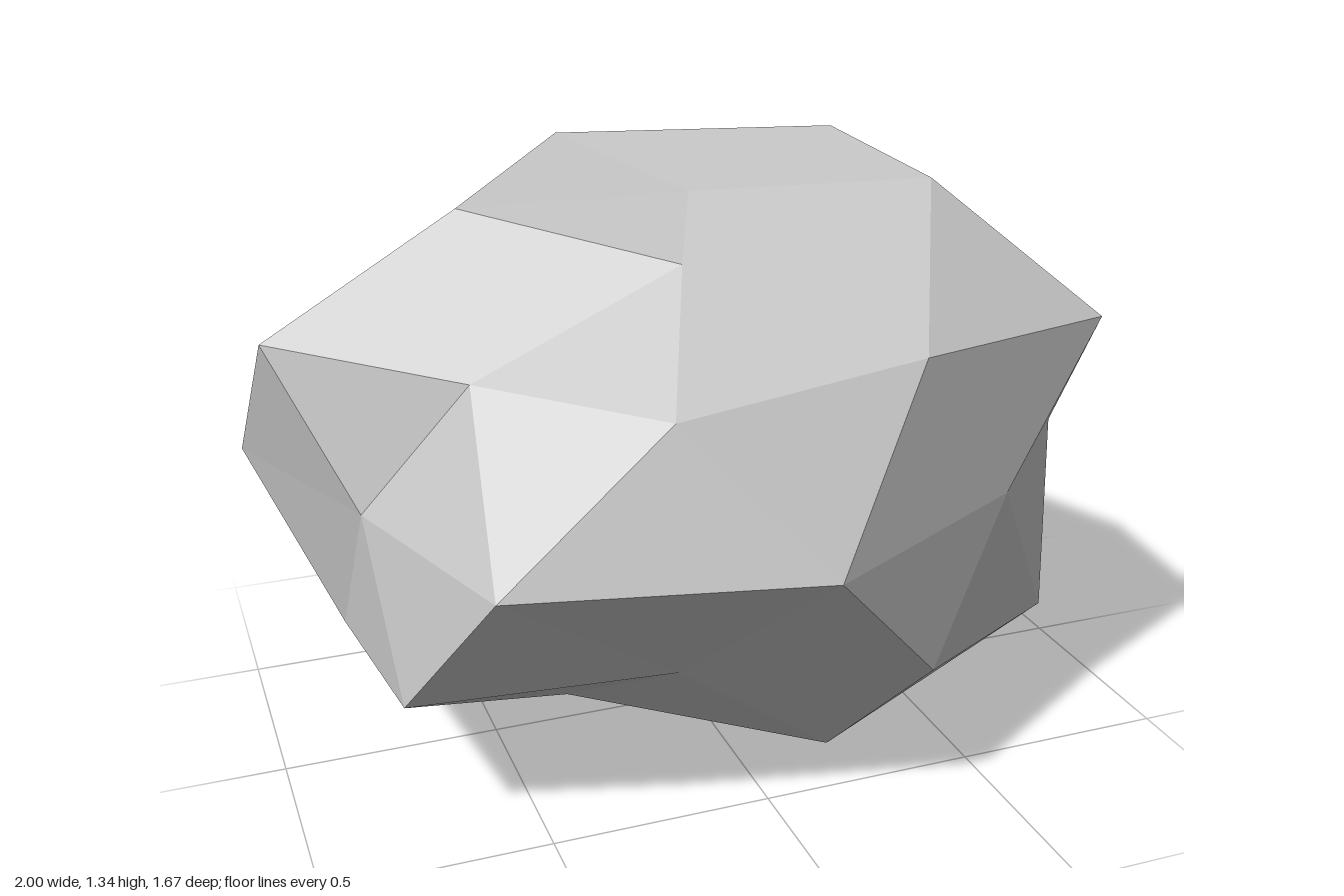
import * as THREE from 'three';

// Low-poly boulder: a subdivided icosahedron, squashed, with each corner pushed in or out.
const SCALE = new THREE.Vector3(1, 0.68, 0.8);
const CENTRE = new THREE.Vector3(0.005, 0.69, -0.03);

// Height of each row of corners on the unit sphere
const RING = 0.4472, MID = 0.5257, CAP = 0.8507;

// Radial push of every corner, row by row, in turn around the upright axis
const PUSH = {
  cap: [1.015, 1.108, 1.115, 1.095, 0.9],
  upper: [1.085, 0.9, 0.9, 1.115, 0.96, 0.985, 1.11, 1.025, 1.005, 0.87],
  equator: [1.057, 0.87, 1.01, 1.095, 0.83, 0.89, 0.895, 1.083, 1.11, 0.857],
  lower: [0.985, 1.04, 0.95, 1.055, 0.91, 1.108, 1.06, 1.055, 0.865, 1.098],
  base: [0.86, 0.965, 0.9, 1.1, 0.89],
};
const TOP_PUSH = 0.855, BOTTOM_PUSH = 1.015;

// Corner at a given number of 36 degree steps from -x
function corner(step, height, push) {
  const angle = Math.PI + step * Math.PI / 5;
  const r = Math.sqrt(1 - height * height);
  return new THREE.Vector3(r * Math.cos(angle), height, r * Math.sin(angle))
    .multiplyScalar(push).multiply(SCALE).add(CENTRE);
}

function boulderGeometry() {
  const top = corner(0, 1, TOP_PUSH);
  const bottom = corner(0, -1, BOTTOM_PUSH);
  const cap = PUSH.cap.map((p, i) => corner(2 * i, CAP, p));
  const upper = PUSH.upper.map((p, j) => corner(j, j % 2 ? MID : RING, p));
  const equator = PUSH.equator.map((p, j) => corner(j + 0.5, 0, p));
  const lower = PUSH.lower.map((p, j) => corner(j, j % 2 ? -RING : -MID, p));
  const base = PUSH.base.map((p, i) => corner(2 * i + 1, -CAP, p));

  const points = [];
  const face = (a, b, c) => points.push(a, c, b);

  // Crown and underside
  for (let i = 0; i < 5; i++) {
    const n = (i + 1) % 5, j = 2 * i;
    face(top, cap[i], cap[n]);
    face(cap[i], upper[j], upper[j + 1]);
    face(cap[i], upper[j + 1], cap[n]);
    face(cap[n], upper[j + 1], upper[(j + 2) % 10]);

    const k = j + 1, k1 = (j + 2) % 10, k2 = (j + 3) % 10;
    face(bottom, base[n], base[i]);
    face(base[i], lower[k1], lower[k]);
    face(base[i], base[n], lower[k1]);
    face(base[n], lower[k2], lower[k1]);
  }

  // Bands above and below the equator
  for (let j = 0; j < 10; j++) {
    const n = (j + 1) % 10;
    face(upper[j], equator[j], upper[n]);
    face(upper[n], equator[j], equator[n]);
    face(equator[j], lower[n], equator[n]);
    face(equator[j], lower[j], lower[n]);
  }

  const geometry = new THREE.BufferGeometry().setFromPoints(points);
  geometry.computeVertexNormals();
  return geometry;
}

export function createModel() {
  const stone = new THREE.MeshStandardMaterial({ color: 0xc6c6c6, flatShading: true });
  stone.name = 'stone grey';

  const boulder = new THREE.Mesh(boulderGeometry(), stone);
  boulder.name = 'boulder';

  const model = new THREE.Group();
  model.name = 'rock';
  model.add(boulder);
  return model;
}
